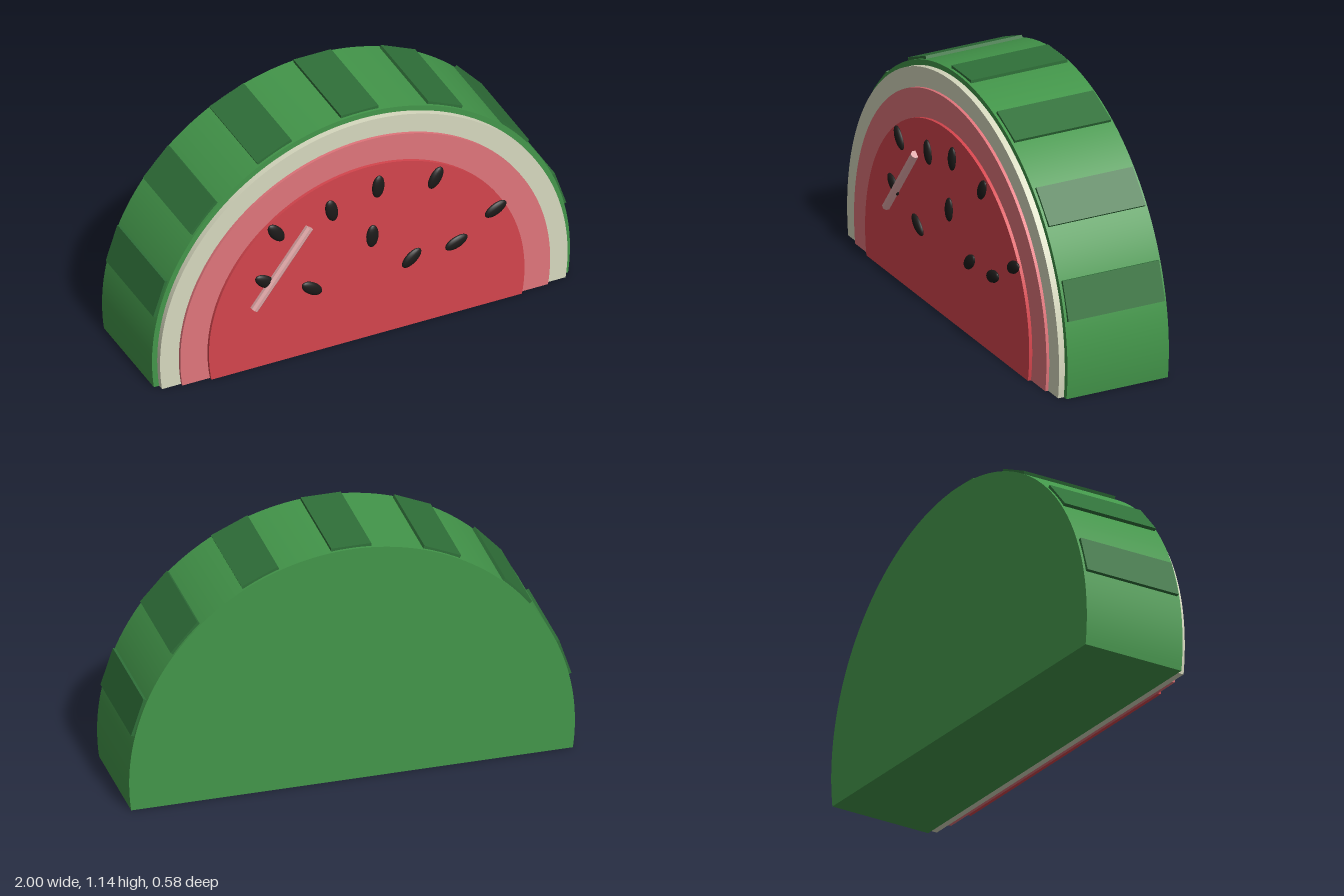
import * as THREE from 'three';
import { toCreasedNormals } from 'three/addons/utils/BufferGeometryUtils.js';

const CY = 0.135; // height of the slice's circle centre above the flat cut

export function createModel() {
  const group = new THREE.Group();
  const mat = (color, flatShading = false) => new THREE.MeshStandardMaterial({ color, flatShading });
  const add = (name, geometry, material, parent = group) => {
    const mesh = new THREE.Mesh(geometry, material);
    mesh.name = name;
    parent.add(mesh);
    return mesh;
  };

  // A disc cut flat at y = 0, running from z0 to z1
  const slab = (name, radius, z0, z1, color) => {
    const a = Math.asin(CY / radius);
    const shape = new THREE.Shape();
    shape.absarc(0, CY, radius, -a, Math.PI + a, false);
    shape.closePath();
    const geo = new THREE.ExtrudeGeometry(shape, { depth: z1 - z0, bevelEnabled: false, curveSegments: 64 });
    geo.translate(0, 0, z0);
    add(name, toCreasedNormals(geo, 0.5), mat(color));
  };
  slab('rind', 1.0, -0.287, 0.207, 0x43964a);
  slab('whiteLayer', 0.975, 0.207, 0.235, 0xd6d8be);
  slab('pinkLayer', 0.885, 0.235, 0.249, 0xe0757b);
  slab('redFlesh', 0.755, 0.249, 0.264, 0xd4454d);

  // Dark stripes across the rind
  const stripes = new THREE.Group();
  stripes.name = 'rindStripes';
  group.add(stripes);
  const stripeGeo = new THREE.BoxGeometry(0.03, 0.18, 0.47);
  const stripeMat = mat(0x2f7039);
  for (let i = 0; i < 7; i++) {
    const a = THREE.MathUtils.degToRad(18 + i * 24);
    const stripe = add('stripe', stripeGeo, stripeMat, stripes);
    stripe.position.set(0.995 * Math.cos(a), CY + 0.995 * Math.sin(a), -0.04);
    stripe.rotation.z = a;
  }

  // Seeds: x, y, tilt from upright in degrees
  const seeds = new THREE.Group();
  seeds.name = 'seeds';
  group.add(seeds);
  const seedGeo = new THREE.SphereGeometry(1, 16, 12).scale(0.029, 0.056, 0.015);
  const seedMat = mat(0x1c1a19);
  const spots = [
    [-0.435, 0.68, 36], [-0.17, 0.717, 12], [0.053, 0.775, -5], [0.328, 0.738, -28], [0.025, 0.524, -3],
    [0.615, 0.487, -62], [0.427, 0.369, -68], [0.213, 0.352, -48], [-0.264, 0.337, 54], [-0.487, 0.44, 54],
  ];
  for (const [x, y, tilt] of spots) {
    const seed = add('seed', seedGeo, seedMat, seeds);
    seed.position.set(x, y, 0.268);
    seed.rotation.z = THREE.MathUtils.degToRad(tilt);
  }

  // Pale highlight rod lying on the flesh
  const rod = add('highlightRod', new THREE.CylinderGeometry(0.019, 0.019, 0.44, 8).rotateY(Math.PI / 8), mat(0xdba3a3, true));
  rod.position.set(-0.411, 0.489, 0.273);
  rod.rotation.z = THREE.MathUtils.degToRad(-37);

  return group;
}
